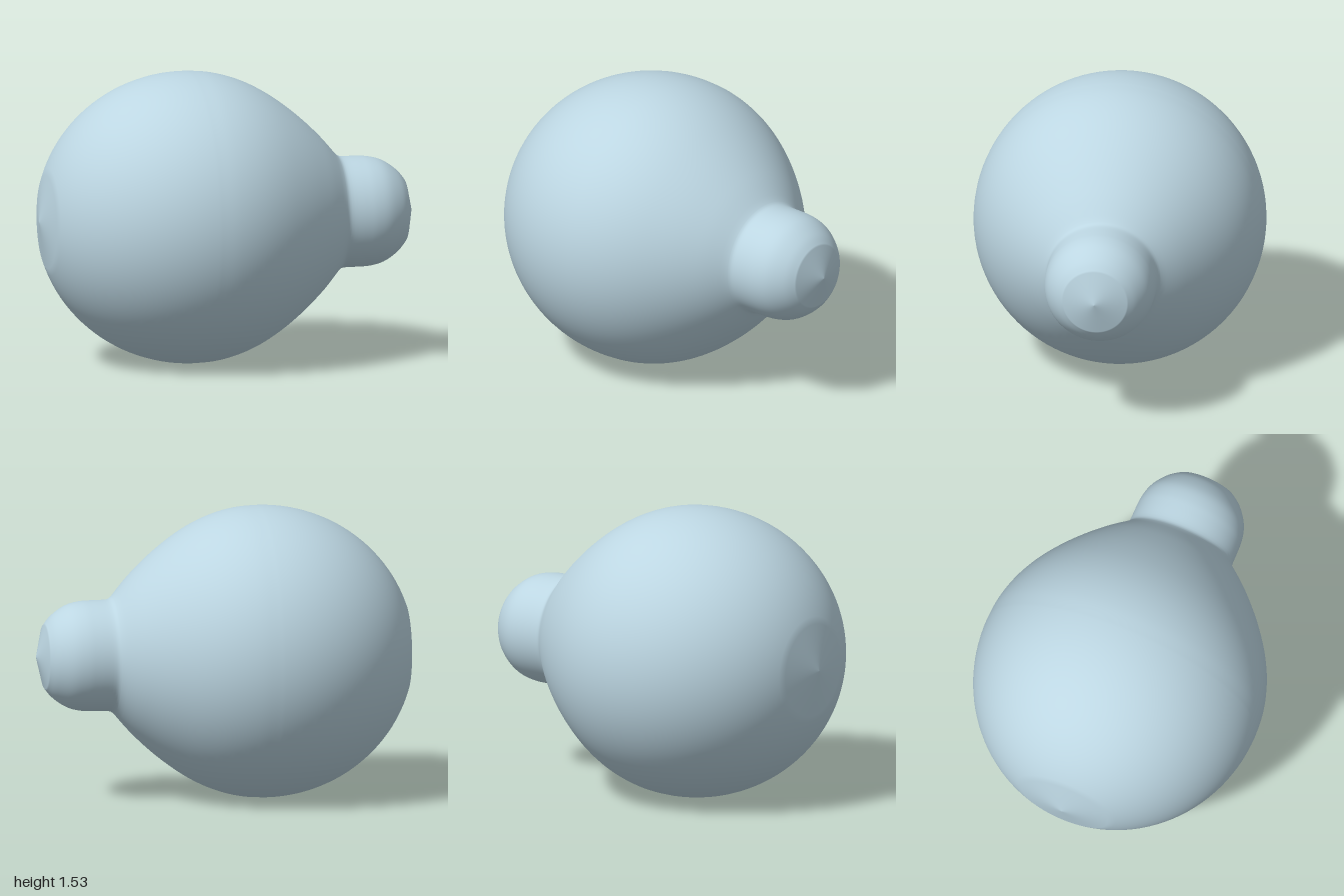
import * as THREE from 'three';

const AXIS_HEIGHT = 0.77;

// Smooth run through a few [position along axis, radius] pairs
function smoothRun(pairs, steps) {
  return new THREE.SplineCurve(pairs.map(([x, r]) => new THREE.Vector2(r, x))).getPoints(steps);
}

export function createModel() {
  const group = new THREE.Group();
  group.name = 'bulb';
  const material = new THREE.MeshStandardMaterial({ color: 0xbcd6e2 });

  // Rounded rear of the globe: an ellipse ending in a shallow cone
  const rear = [new THREE.Vector2(0, -1)];
  for (let i = 0; i < 24; i++) {
    const a = THREE.MathUtils.lerp(0.325, Math.PI / 2, i / 24);
    rear.push(new THREE.Vector2(0.767 * Math.sin(a), -0.2 - 0.8 * Math.cos(a)));
  }

  // Taper towards the neck
  const taper = smoothRun([
    [-0.2, 0.767], [-0.1, 0.761], [0, 0.741], [0.1, 0.706], [0.2, 0.655],
    [0.3, 0.588], [0.4, 0.507], [0.5, 0.411], [0.58, 0.319],
  ], 32);

  // Cylindrical neck with a rounded shoulder and a shallow cone tip
  const neck = smoothRun([
    [0.593, 0.306], [0.62, 0.293], [0.7, 0.291], [0.76, 0.288], [0.82, 0.275],
    [0.87, 0.25], [0.92, 0.211], [0.955, 0.168],
  ], 28);
  const profile = [...rear, ...taper, ...neck, new THREE.Vector2(0, 1)];

  // Turn the lathe axis onto x
  const geometry = new THREE.LatheGeometry(profile, 96);
  geometry.rotateZ(-Math.PI / 2);
  geometry.translate(0, AXIS_HEIGHT, 0);

  const body = new THREE.Mesh(geometry, material);
  body.name = 'globeAndNeck';
  group.add(body);
  return group;
}
